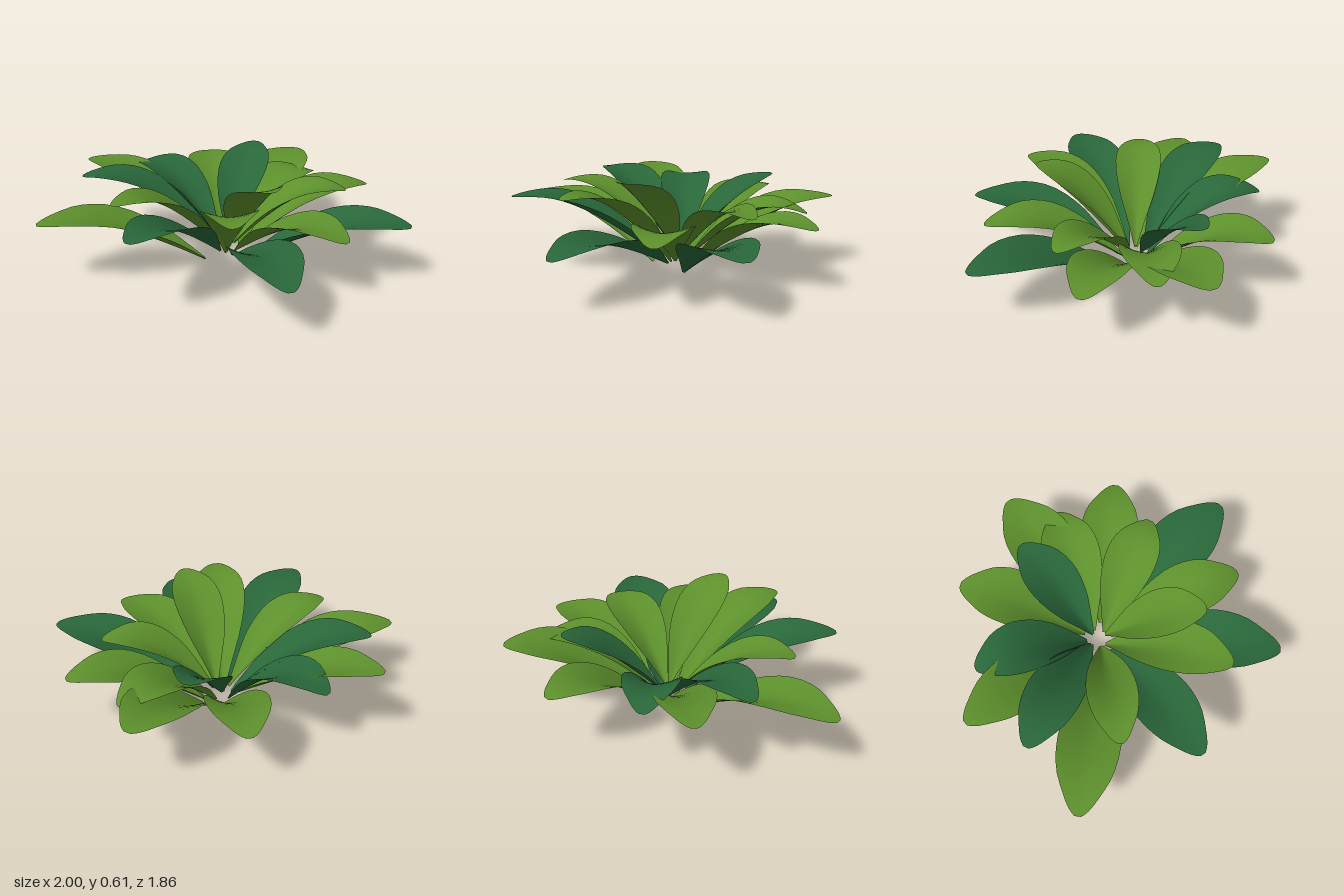
import * as THREE from 'three';

const lightGreen = new THREE.MeshStandardMaterial({ color: 0x5d902c, side: THREE.DoubleSide });
lightGreen.name = 'light leaf green';
const darkGreen = new THREE.MeshStandardMaterial({ color: 0x29673a, side: THREE.DoubleSide });
darkGreen.name = 'dark leaf green';

// Half-width of a leaf along its length, as a share of the widest point
const outline = new THREE.SplineCurve([
  [0, 0.06], [0.15, 0.36], [0.35, 0.78], [0.56, 1], [0.75, 0.89], [0.9, 0.52], [0.97, 0.28], [1, 0.1],
].map(([t, w]) => new THREE.Vector2(t, w)));

// One leaf: an arched midrib with a blade that is cupped near the base and flat at the tip
function leafGeometry(base, tip, rise, width) {
  const ROWS = 20, COLS = 8;
  const a = new THREE.Vector3(...base), b = new THREE.Vector3(...tip);
  const mid = a.clone().lerp(b, 0.5);
  mid.y = b.y + rise;
  const rib = new THREE.QuadraticBezierCurve3(a, mid, b);
  const side = new THREE.Vector3(-(b.z - a.z), 0, b.x - a.x).normalize();
  const positions = [], indices = [];
  for (let i = 0; i <= ROWS; i++) {
    const o = outline.getPoint(i / ROWS);
    const t = Math.min(1, Math.max(0, o.x));
    const centre = rib.getPoint(t);
    // The rib runs straight at first, then bends over close to the tip
    centre.y += 0.04 * Math.sin(Math.PI * t) * (t * 2 - 1);
    const normal = side.clone().cross(rib.getTangent(t)).normalize();
    if (normal.y < 0) normal.negate();
    for (let j = 0; j <= COLS; j++) {
      const s = (j / COLS) * 2 - 1;
      const half = o.y * width / 2;
      const lift = half * 0.7 * (1 - t) * Math.pow(Math.abs(s), 1.5);
      const p = centre.clone().addScaledVector(side, s * half).addScaledVector(normal, lift);
      positions.push(p.x, Math.max(0, p.y), p.z);
    }
  }
  for (let i = 0; i < ROWS; i++) {
    for (let j = 0; j < COLS; j++) {
      const k = i * (COLS + 1) + j, n = k + COLS + 1;
      indices.push(k, k + 1, n, k + 1, n + 1, n);
    }
  }
  const g = new THREE.BufferGeometry();
  g.setAttribute('position', new THREE.Float32BufferAttribute(positions, 3));
  g.setIndex(indices);
  g.computeVertexNormals();
  return g;
}

// Each leaf: name, colour, base, tip, height of the arch over the tip, width
const L = lightGreen, D = darkGreen;
const leaves = [
  // Low outer ring
  ['lowerLeafLeft', D, [0.05, 0.0, -0.02], [1.0, 0.335, -0.01], 0.0, 0.38],
  ['lowerLeafFrontRight', L, [-0.16, 0.02, 0.11], [-0.93, 0.355, 0.65], 0.02, 0.35],
  ['lowerLeafBack', L, [-0.02, 0.03, -0.12], [0.11, 0.42, -0.93], -0.03, 0.39],
  ['lowerLeafFrontLeft', D, [0.0, 0.05, 0.07], [0.55, 0.29, 0.84], 0.07, 0.35],
  ['lowerLeafBackLeft', L, [0.02, 0.05, -0.09], [0.65, 0.36, -0.56], 0.05, 0.34],
  ['lowerLeafBackRight', L, [-0.1, 0.05, -0.11], [-0.46, 0.4, -0.75], 0.03, 0.34],
  // Middle ring
  ['middleLeafLeft', L, [0.0, 0.06, 0.02], [0.72, 0.36, 0.36], 0.07, 0.33],
  ['middleLeafBack', L, [-0.05, 0.06, -0.08], [0.27, 0.36, -0.69], 0.11, 0.33],
  ['middleLeafRight', D, [-0.13, 0.07, -0.06], [-0.75, 0.43, -0.31], 0.1, 0.31],
  ['middleLeafFront', D, [-0.08, 0.07, 0.08], [-0.25, 0.46, 0.92], 0.0, 0.33],
  ['middleLeafFarRight', L, [-0.14, 0.08, -0.03], [-1.0, 0.49, -0.11], -0.03, 0.33],
  // Upright inner ring
  ['upperLeafRight', D, [-0.13, 0.09, -0.02], [-0.87, 0.5, 0.22], 0.03, 0.31],
  ['upperLeafLeft', L, [-0.02, 0.09, -0.02], [0.59, 0.43, -0.22], 0.05, 0.3],
  ['upperLeafFrontRight', L, [-0.1, 0.09, 0.03], [-0.51, 0.49, 0.57], 0.03, 0.28],
  ['upperLeafFront', L, [-0.06, 0.04, 0.03], [0.22, 0.52, 0.72], 0.0, 0.31],
  ['upperLeafBack', D, [-0.08, 0.1, -0.06], [-0.08, 0.54, -0.62], -0.1, 0.3],
  ['upperLeafFrontLeft', L, [-0.03, 0.1, 0.0], [0.33, 0.61, 0.42], -0.08, 0.29],
];

export function createModel() {
  const plant = new THREE.Group();
  plant.name = 'leafRosette';
  for (const [name, material, base, tip, rise, width] of leaves) {
    const leaf = new THREE.Mesh(leafGeometry(base, tip, rise, width), material);
    leaf.name = name;
    plant.add(leaf);
  }
  return plant;
}
